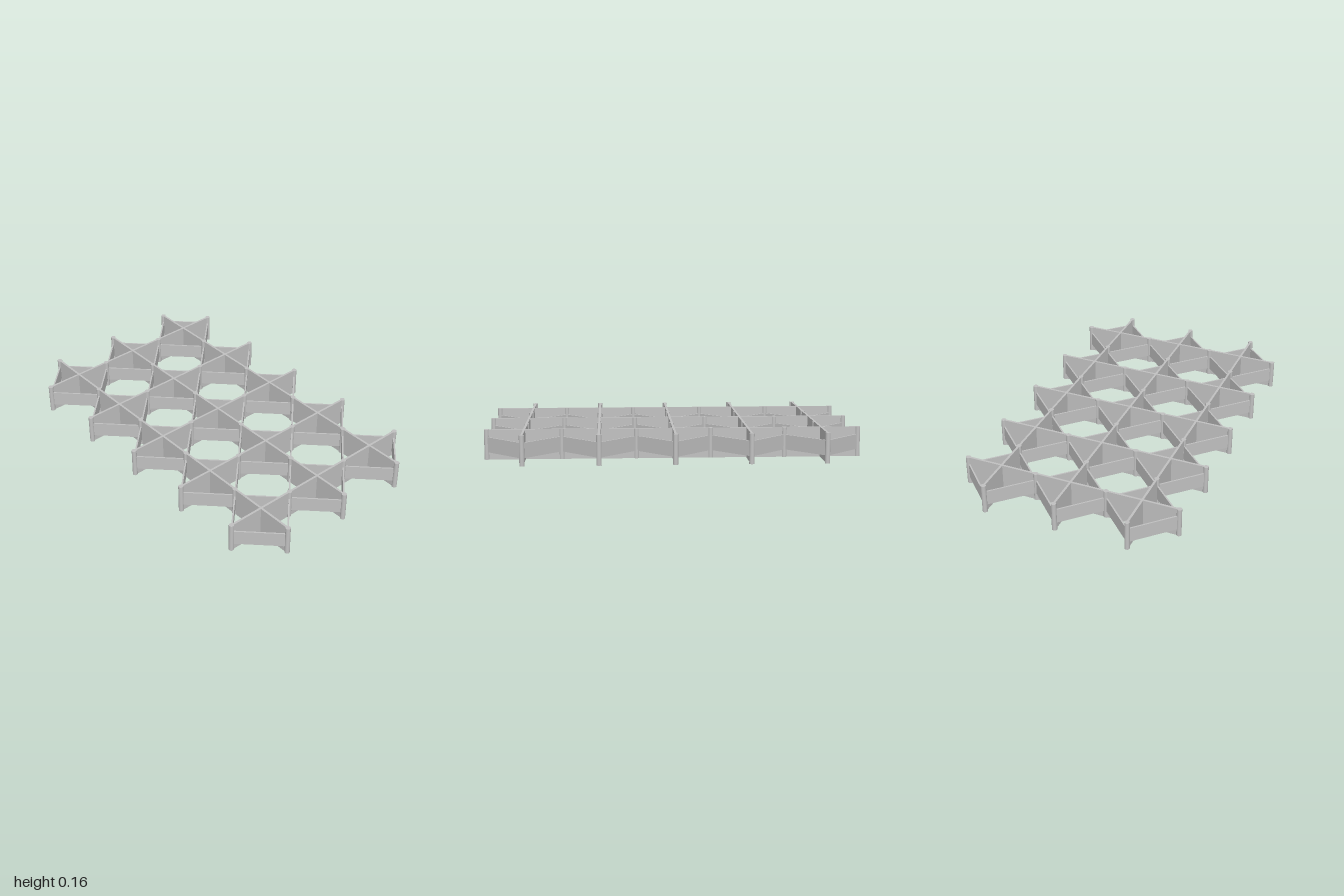
import * as THREE from 'three';

const COLS = 3, ROWS = 5;
const PITCH = 0.3946, HALF = PITCH / 2;
const HEIGHT = 0.16, POST_R = 0.0135;
const RIB_T = 0.012, WALL_T = 0.008, WALL_H = 0.08;

export function createModel() {
  const model = new THREE.Group();
  model.name = 'latticeGrid';
  const grey = new THREE.MeshStandardMaterial({ color: 0xc0c0c0 });
  grey.name = 'light grey';

  const add = (name, geometry, x, z, turn = 0) => {
    const mesh = new THREE.Mesh(geometry, grey);
    mesh.name = name;
    mesh.position.set(x, HEIGHT / 2, z);
    mesh.rotation.y = turn;
    model.add(mesh);
  };
  const colX = i => (i - (COLS - 1) / 2) * PITCH;
  const rowZ = j => (j - (ROWS - 1) / 2) * PITCH;

  // Full-height ribs crossing the whole grid
  const crossRib = new THREE.BoxGeometry(COLS * PITCH, HEIGHT, RIB_T);
  const longRib = new THREE.BoxGeometry(RIB_T, HEIGHT, ROWS * PITCH);
  for (let j = 0; j < ROWS; j++) add('crossRib', crossRib, 0, rowZ(j));
  for (let i = 0; i < COLS; i++) add('longRib', longRib, colX(i), 0);

  // Round posts at the diamond corners
  const post = new THREE.CylinderGeometry(POST_R, POST_R, HEIGHT, 24);
  for (let j = 0; j < ROWS; j++)
    for (let i = 0; i <= COLS; i++) add('post', post, colX(i) - HALF, rowZ(j));
  for (let i = 0; i < COLS; i++)
    for (let j = 0; j <= ROWS; j++) add('post', post, colX(i), rowZ(j) - HALF);

  // Lower diagonal walls closing each diamond
  const wall = new THREE.BoxGeometry(HALF * Math.SQRT2, WALL_H, WALL_T);
  for (let i = 0; i < COLS; i++)
    for (let j = 0; j < ROWS; j++)
      for (const sx of [-1, 1])
        for (const sz of [-1, 1])
          add('diagonalWall', wall, colX(i) + sx * HALF / 2, rowZ(j) + sz * HALF / 2, sx * sz * Math.PI / 4);

  return model;
}
